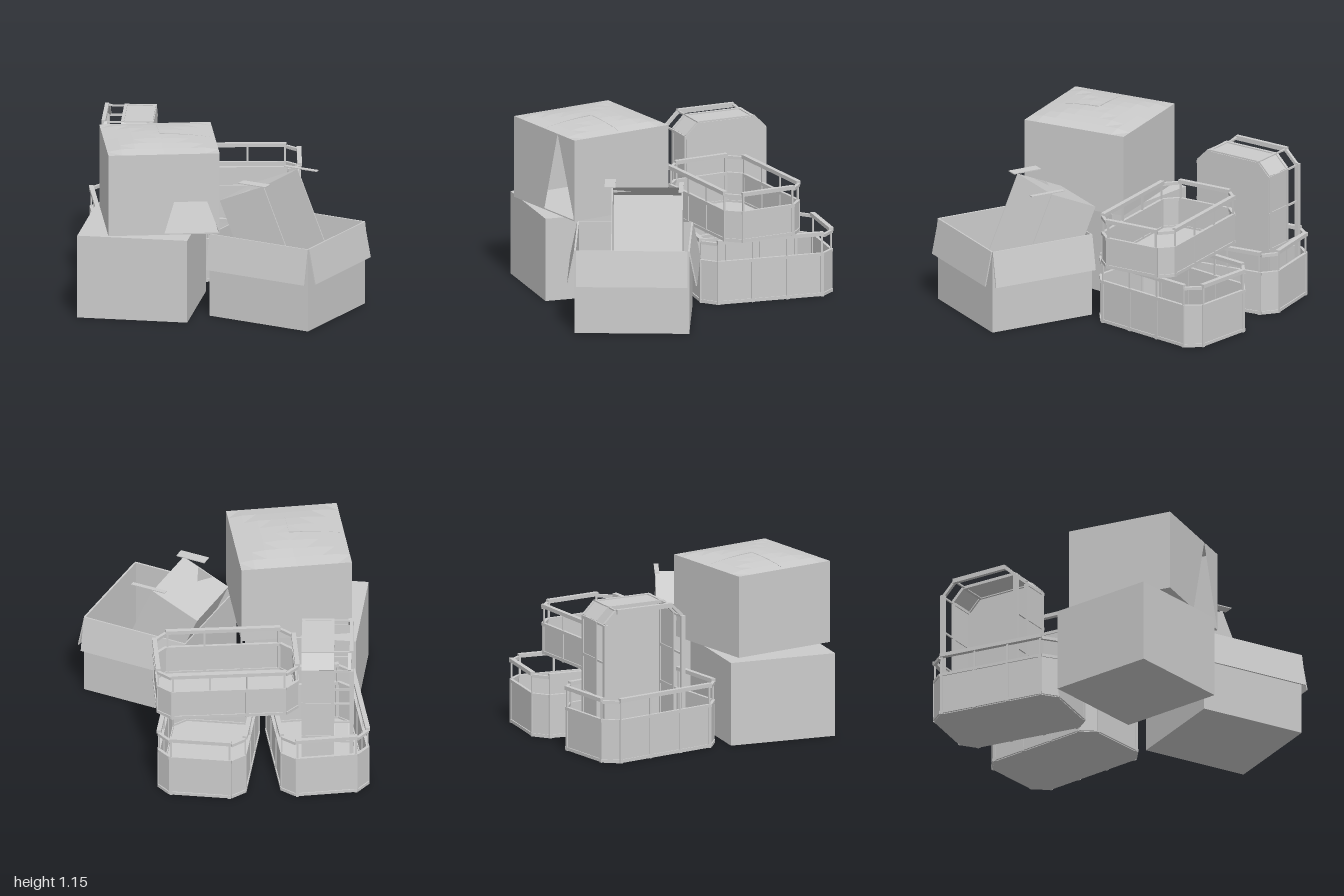
import * as THREE from 'three';

const mat = new THREE.MeshStandardMaterial({ color: 0xcccccc, flatShading: true, side: THREE.DoubleSide });

function add(parent, name, geo, x = 0, y = 0, z = 0) {
  const m = new THREE.Mesh(geo, mat);
  m.name = name;
  m.position.set(x, y, z);
  parent.add(m);
  return m;
}
const box = (parent, name, w, h, d, x, y, z) => add(parent, name, new THREE.BoxGeometry(w, h, d), x, y, z);

function place(root, name, x, y, z, yaw) {
  const g = new THREE.Group();
  g.name = name;
  g.position.set(x, y, z);
  g.rotation.y = yaw;
  root.add(g);
  return g;
}

const polygon = pts => new THREE.ShapeGeometry(new THREE.Shape(pts.map(p => new THREE.Vector2(...p))));

// Thin carton walls around a floor; skip lists the sides left open
function carton(g, w, h, d, skip = []) {
  const t = 0.008;
  box(g, 'cartonFloor', w, t, d, 0, t / 2, 0);
  for (const s of [-1, 1]) {
    if (!skip.includes('x' + s)) box(g, 'cartonSide', t, h, d, s * (w - t) / 2, h / 2, 0);
    if (!skip.includes('z' + s)) box(g, 'cartonEnd', w, h, t, 0, h / 2, s * (d - t) / 2);
  }
}

// Eight-sided slatted crate with framed walls and a raised rim
function crate(g, L, W, wall, height) {
  const w = W / 2, l = L / 2, c = 0.08;
  const pts = [[w - c, l], [w, l - c], [w, c - l], [w - c, -l], [c - w, -l], [-w, c - l], [-w, l - c], [c - w, l]];
  const floor = new THREE.ExtrudeGeometry(new THREE.Shape(pts.map(p => new THREE.Vector2(...p))),
    { depth: 0.012, bevelEnabled: false });
  floor.rotateX(Math.PI / 2);
  add(g, 'crateFloor', floor, 0, 0.012, 0);
  pts.forEach((a, i) => {
    const b = pts[(i + 1) % 8];
    const dx = b[0] - a[0], dz = b[1] - a[1], len = Math.hypot(dx, dz);
    const side = place(g, 'crateWall', (a[0] + b[0]) / 2, 0, (a[1] + b[1]) / 2, Math.atan2(-dz, dx));
    box(side, 'wallPanel', len, wall - 0.02, 0.006, 0, wall / 2, 0);
    box(side, 'bottomBar', len, 0.02, 0.02, 0, 0.015, 0);
    box(side, 'topBar', len, 0.02, 0.02, 0, wall - 0.01, 0);
    if (len > 0.2) {
      // Wall frame uprights and the slim posts that carry the rim
      const n = len > 0.5 ? 3 : 1;
      for (let k = 0; k <= n; k++) {
        const x = (k / n - 0.5) * (len - 0.02);
        box(side, 'frameUpright', 0.02, wall, 0.018, x, wall / 2, 0);
        box(side, 'rimPost', 0.012, height - wall, 0.01, x, (height + wall) / 2, 0);
      }
      box(side, 'rimRail', len, 0.025, 0.03, 0, height - 0.0125, 0);
    } else {
      box(side, 'cornerRim', len, 0.02, 0.02, 0, height - 0.025, 0);
    }
  });
}

export function createModel() {
  const root = new THREE.Group();
  root.name = 'boxesAndCrates';

  // Closed carton on the floor
  const lower = place(root, 'lowerCarton', -0.53, 0, 0.425, -0.11);
  box(lower, 'cartonBody', 0.72, 0.55, 0.72, 0, 0.275, 0);

  // Carton stacked on it, with a torn front and four slightly raised flaps
  const upper = place(root, 'upperCarton', -0.415, 0.57, 0.405, 0.14);
  const H = 0.54, r = 0.36;
  carton(upper, 2 * r, H, 2 * r, ['z1']);
  add(upper, 'tornFrontLeft', polygon([[-r, 0], [0, 0], [0.16, H], [-r, H]]), 0, 0, r);
  add(upper, 'tornFrontRight', polygon([[r, 0], [r, H], [0.16, H]]), 0, 0, r);
  for (let i = 0; i < 4; i++) {
    const flap = new THREE.PlaneGeometry(r, r, 4, 4);
    flap.rotateX(-Math.PI / 2).translate(r / 2, 0, r / 2);
    const p = flap.attributes.position;
    for (let k = 0; k < p.count; k++) {
      const out = Math.max(p.getX(k), p.getZ(k)) / r;
      p.setY(k, 0.032 * (1 - out * out) + (i % 2) * 0.006 * (1 - out));
    }
    flap.computeVertexNormals();
    add(upper, 'topFlap', flap, 0, H, 0).rotation.y = i * Math.PI / 2;
  }

  // Open carton with flaps folded down outside
  const open = place(root, 'openCarton', 0.415, 0, 0.485, -0.46);
  carton(open, 0.73, 0.55, 0.74);
  for (const [yaw, off, len] of [[0, 0.37, 0.73], [Math.PI / 2, 0.365, 0.72], [Math.PI, 0.37, 0.73]]) {
    const arm = place(open, 'foldedFlap', 0, 0.55, 0, yaw);
    const hinge = new THREE.Group();
    hinge.position.z = off;
    hinge.rotation.x = -0.2;
    arm.add(hinge);
    box(hinge, 'flapPanel', len, 0.235, 0.008, 0, -0.1175, 0);
  }

  // Small tilted carton inside it, open on one side
  const yaw = place(root, 'smallCarton', 0.365, 0.85, 0.365, -0.45);
  const tilt = new THREE.Group();
  tilt.rotation.z = 0.41;
  yaw.add(tilt);
  const small = place(tilt, 'smallCartonBody', -0.175, -0.56, 0, 0);
  carton(small, 0.35, 0.56, 0.46, ['x1']);
  add(small, 'smallCartonTop', polygon([[-0.175, -0.23], [0.175, -0.23], [0.175, 0.23], [0.06, 0.23],
    [0, 0.1], [-0.06, 0.23], [-0.175, 0.23]]), 0, 0.56, 0).rotation.x = Math.PI / 2;
  box(yaw, 'smallCartonFlap', 0.2, 0.006, 0.07, -0.06, 0.01, 0.24);
  box(yaw, 'smallCartonFlap', 0.24, 0.006, 0.03, 0.03, 0.01, -0.22);

  // Crates: two on the floor, one laid across, one standing on end
  crate(place(root, 'backRightCrate', -0.6, 0, -0.505, 0.14), 0.88, 0.56, 0.29, 0.43);
  crate(place(root, 'backLeftCrate', 0.1, 0, -0.535, -0.12), 0.88, 0.56, 0.29, 0.43);
  crate(place(root, 'crossCrate', -0.01, 0.43, -0.425, Math.PI / 2 + 0.07), 0.9, 0.54, 0.21, 0.335);
  const standing = place(root, 'standingCrate', -0.5, 0.52, -0.59, 0);
  standing.quaternion.setFromRotationMatrix(new THREE.Matrix4().makeBasis(
    new THREE.Vector3(0, 0, -1), new THREE.Vector3(-1, 0, 0), new THREE.Vector3(0, 1, 0)));
  crate(standing, 0.92, 0.56, 0.21, 0.335);

  return root;
}
